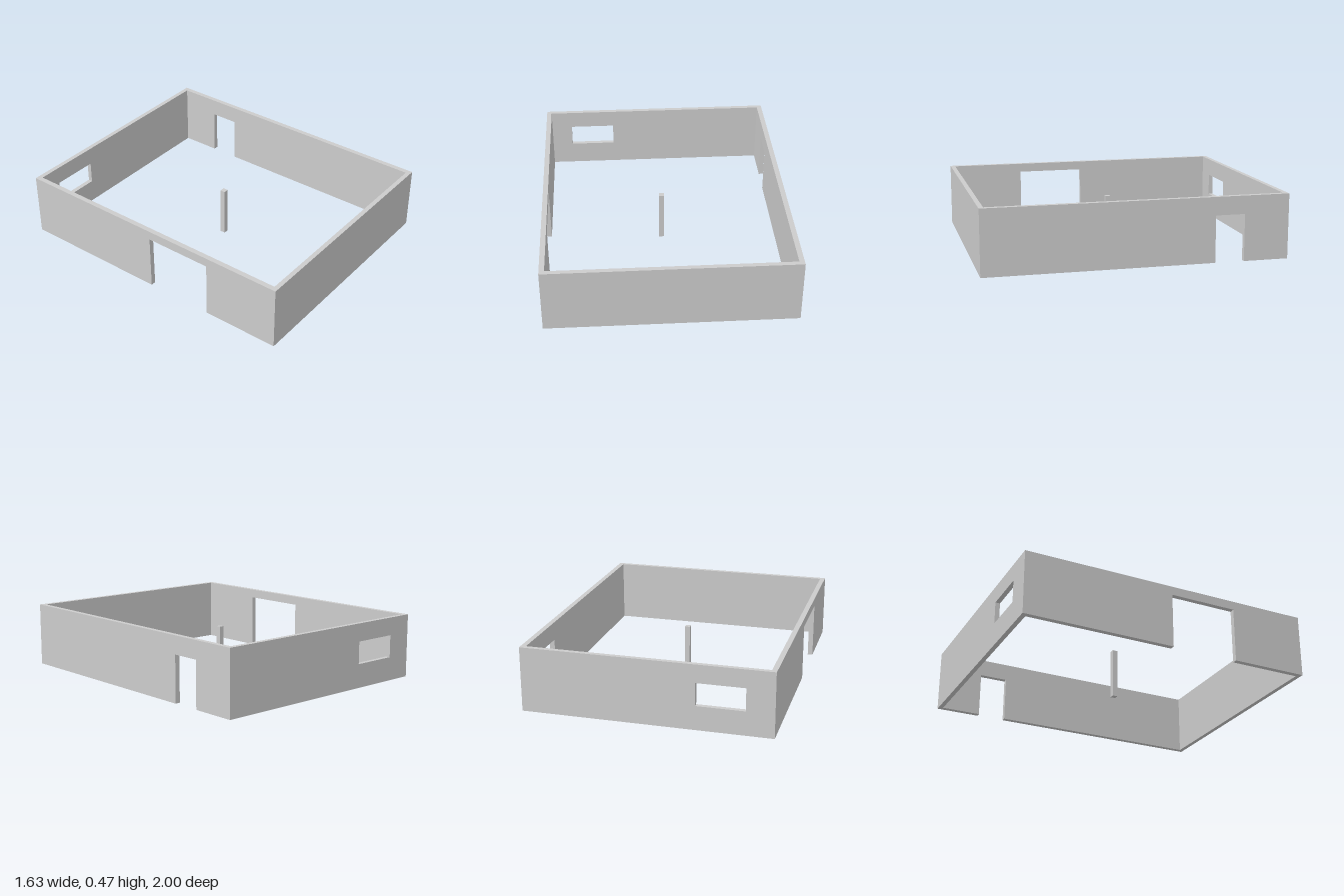
import * as THREE from 'three';

const BASE = 0.035, TOP = 0.465;      // bottom and top of the walls
const HX = 0.815, HZ = 1;             // half outer size
const TX = 0.034, TZ = 0.031;         // thickness of side walls, end walls

const material = new THREE.MeshStandardMaterial({ color: 0xcccccc, flatShading: true });

// Wall running along local x from -half to half; a door is a notch cut up from the base
function makeWall(name, half, thickness, { door, window: opening } = {}) {
  const shape = new THREE.Shape();
  shape.moveTo(-half, BASE);
  if (door) {
    shape.lineTo(door.from, BASE);
    shape.lineTo(door.from, door.top);
    shape.lineTo(door.to, door.top);
    shape.lineTo(door.to, BASE);
  }
  shape.lineTo(half, BASE);
  shape.lineTo(half, TOP);
  shape.lineTo(-half, TOP);
  shape.closePath();
  if (opening) {
    const { from, to, bottom, top } = opening;
    const hole = new THREE.Path();
    hole.moveTo(from, bottom);
    hole.lineTo(from, top);
    hole.lineTo(to, top);
    hole.lineTo(to, bottom);
    hole.closePath();
    shape.holes.push(hole);
  }
  const geometry = new THREE.ExtrudeGeometry(shape, { depth: thickness, bevelEnabled: false });
  const mesh = new THREE.Mesh(geometry, material);
  mesh.name = name;
  return mesh;
}

export function createModel() {
  const group = new THREE.Group();
  group.name = 'walledRoom';

  // End walls fit between the side walls
  const frontWall = makeWall('frontWall', HX - TX, TZ);
  frontWall.position.z = HZ - TZ;

  const backWall = makeWall('backWall', HX - TX, TZ, {
    window: { from: -0.635, to: -0.32, bottom: 0.195, top: 0.345 },
  });
  backWall.position.z = -HZ;

  // Side walls are turned so that local x runs along z
  const rightWall = makeWall('wallWithNarrowDoor', HZ, TX, {
    door: { from: -0.7, to: -0.505, top: 0.345 },
  });
  rightWall.rotation.y = -Math.PI / 2;
  rightWall.position.x = HX;

  const leftWall = makeWall('wallWithWideDoor', HZ, TX, {
    door: { from: 0.02, to: 0.48, top: 0.405 },
  });
  leftWall.rotation.y = -Math.PI / 2;
  leftWall.position.x = -HX + TX;

  // Square post in the middle, reaching slightly below the walls
  const post = new THREE.Mesh(new THREE.BoxGeometry(0.035, 0.345, 0.035), material);
  post.name = 'centrePost';
  post.position.set(-0.008, 0.1725, 0);

  group.add(frontWall, backWall, rightWall, leftWall, post);
  return group;
}
